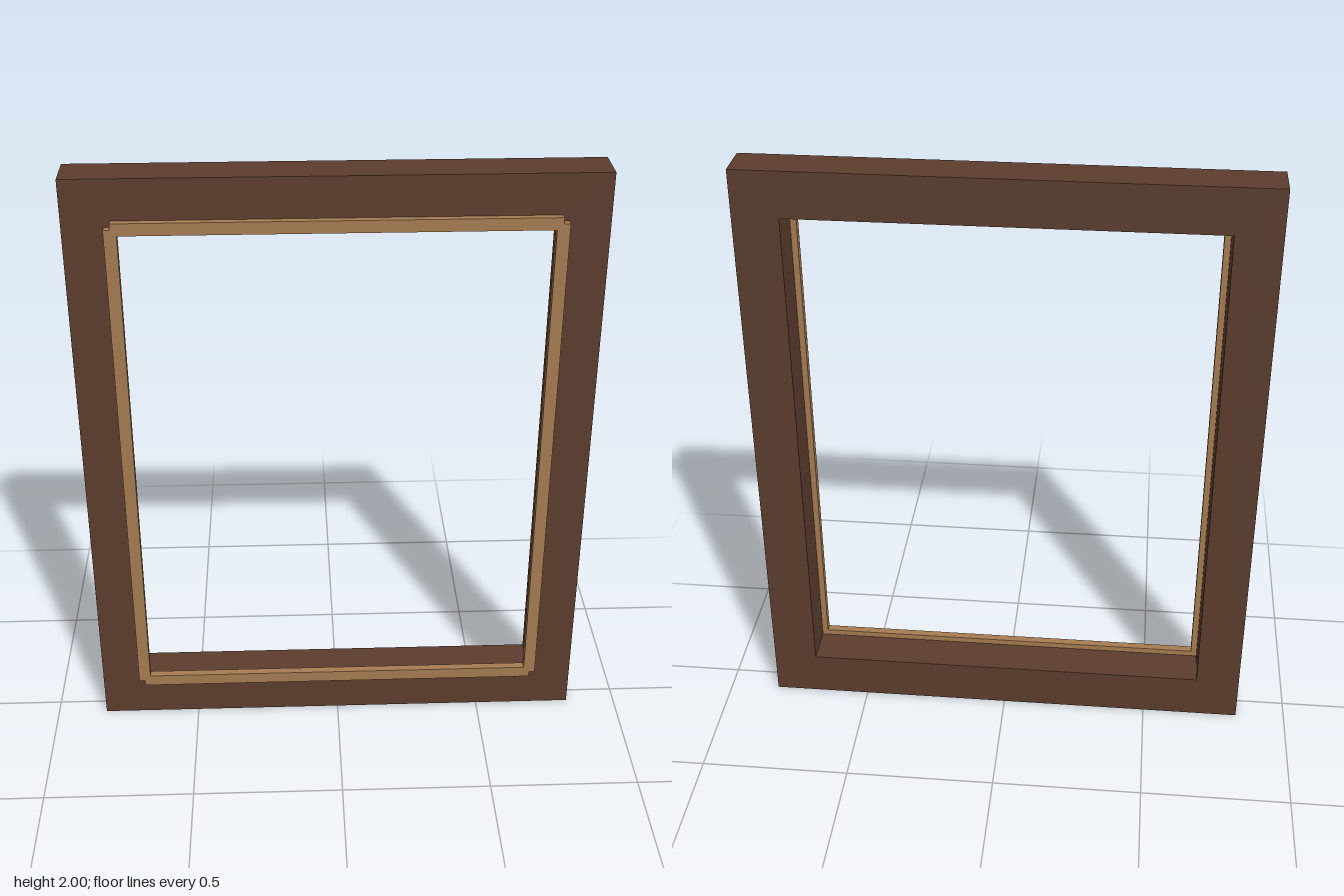
import * as THREE from 'three';

// Overall sizes
const HALF_W = 0.83, HEIGHT = 2, BACK = -0.08, FRONT = 0.057;
const OPEN_X = 0.682, OPEN_Y = 0.848; // half size of the opening
const TRIM = 0.04, TRIM_BACK = 0.053, TRIM_FRONT = 0.08;

function rectangle(path, hw, hh) {
  path.moveTo(-hw, -hh);
  path.lineTo(hw, -hh);
  path.lineTo(hw, hh);
  path.lineTo(-hw, hh);
  path.closePath();
  return path;
}

export function createModel() {
  const group = new THREE.Group();
  group.name = 'windowFrame';

  const darkWood = new THREE.MeshStandardMaterial({ color: 0x5c3d2e });
  darkWood.name = 'darkWood';
  const lightWood = new THREE.MeshStandardMaterial({ color: 0xa67c52 });
  lightWood.name = 'lightWood';

  // Outer frame with a rectangular opening
  const outline = rectangle(new THREE.Shape(), HALF_W, HEIGHT / 2);
  outline.holes.push(rectangle(new THREE.Path(), OPEN_X, OPEN_Y));
  const frame = new THREE.Mesh(
    new THREE.ExtrudeGeometry(outline, { depth: FRONT - BACK, bevelEnabled: false }),
    darkWood
  );
  frame.name = 'outerFrame';
  frame.position.set(0, HEIGHT / 2, BACK);
  group.add(frame);

  // Trim strips centred on the edges of the opening, leaving notched corners
  const depth = TRIM_FRONT - TRIM_BACK;
  const addTrim = (name, w, h, x, y) => {
    const strip = new THREE.Mesh(new THREE.BoxGeometry(w, h, depth), lightWood);
    strip.name = name;
    strip.position.set(x, HEIGHT / 2 + y, TRIM_BACK + depth / 2);
    group.add(strip);
  };
  for (const s of [1, -1]) {
    addTrim(s > 0 ? 'topTrim' : 'bottomTrim', 2 * OPEN_X, TRIM, 0, s * OPEN_Y);
    addTrim(s > 0 ? 'leftTrim' : 'rightTrim', TRIM, 2 * OPEN_Y, s * OPEN_X, 0);
  }

  return group;
}
